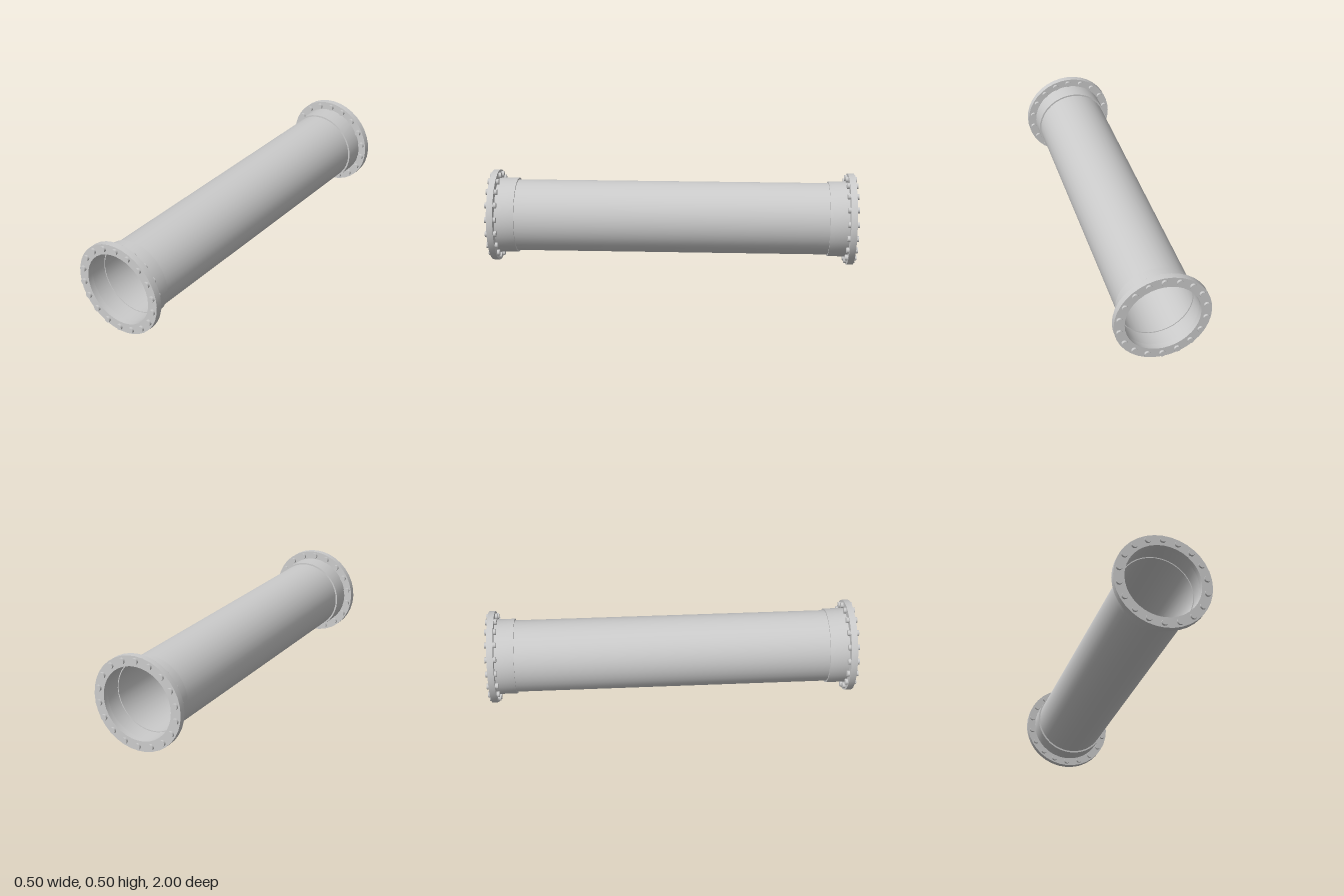
import * as THREE from 'three';
import { toCreasedNormals } from 'three/addons/utils/BufferGeometryUtils.js';

const SIDES = 36;
const BOLTS = 18;
const BOLT_CIRCLE = 0.225;
const AXIS_Y = 0.25;

// Hollow ring along z: outer wall, end faces and inner wall
function ring(inner, outer, z0, z1) {
  const profile = [
    [inner, z0], [outer, z0], [outer, z1], [inner, z1], [inner, z0],
  ].map(([r, z]) => new THREE.Vector2(r, z));
  const geometry = new THREE.LatheGeometry(profile, SIDES).rotateX(Math.PI / 2);
  return toCreasedNormals(geometry, 0.6);
}

export function createModel() {
  const model = new THREE.Group();
  model.name = 'flangedPipe';
  const material = new THREE.MeshStandardMaterial({ color: 0xcccccc });

  const add = (parent, name, geometry) => {
    const mesh = new THREE.Mesh(geometry, material);
    mesh.name = name;
    parent.add(mesh);
    return mesh;
  };

  const pipe = add(model, 'pipe', ring(0.19, 0.196, -0.87, 0.87));
  pipe.position.y = AXIS_Y;

  const collarGeometry = ring(0.195, 0.205, 0.85, 0.956);
  const flangeGeometry = ring(0.195, 0.25, 0.954, 0.988);
  // Each bolt passes through the flange and stands out on both faces
  const boltGeometry = new THREE.CylinderGeometry(0.016, 0.016, 0.06, 12).rotateX(Math.PI / 2);

  // The same fitting on both ends, the back one turned half round
  for (const [name, turn] of [['frontFitting', 0], ['backFitting', Math.PI]]) {
    const fitting = new THREE.Group();
    fitting.name = name;
    fitting.position.y = AXIS_Y;
    fitting.rotation.y = turn;
    add(fitting, 'collar', collarGeometry);
    add(fitting, 'flange', flangeGeometry);

    for (let i = 0; i < BOLTS; i++) {
      const a = (i / BOLTS) * Math.PI * 2;
      const bolt = add(fitting, 'bolt', boltGeometry);
      bolt.position.set(BOLT_CIRCLE * Math.sin(a), BOLT_CIRCLE * Math.cos(a), 0.97);
    }
    model.add(fitting);
  }
  return model;
}
